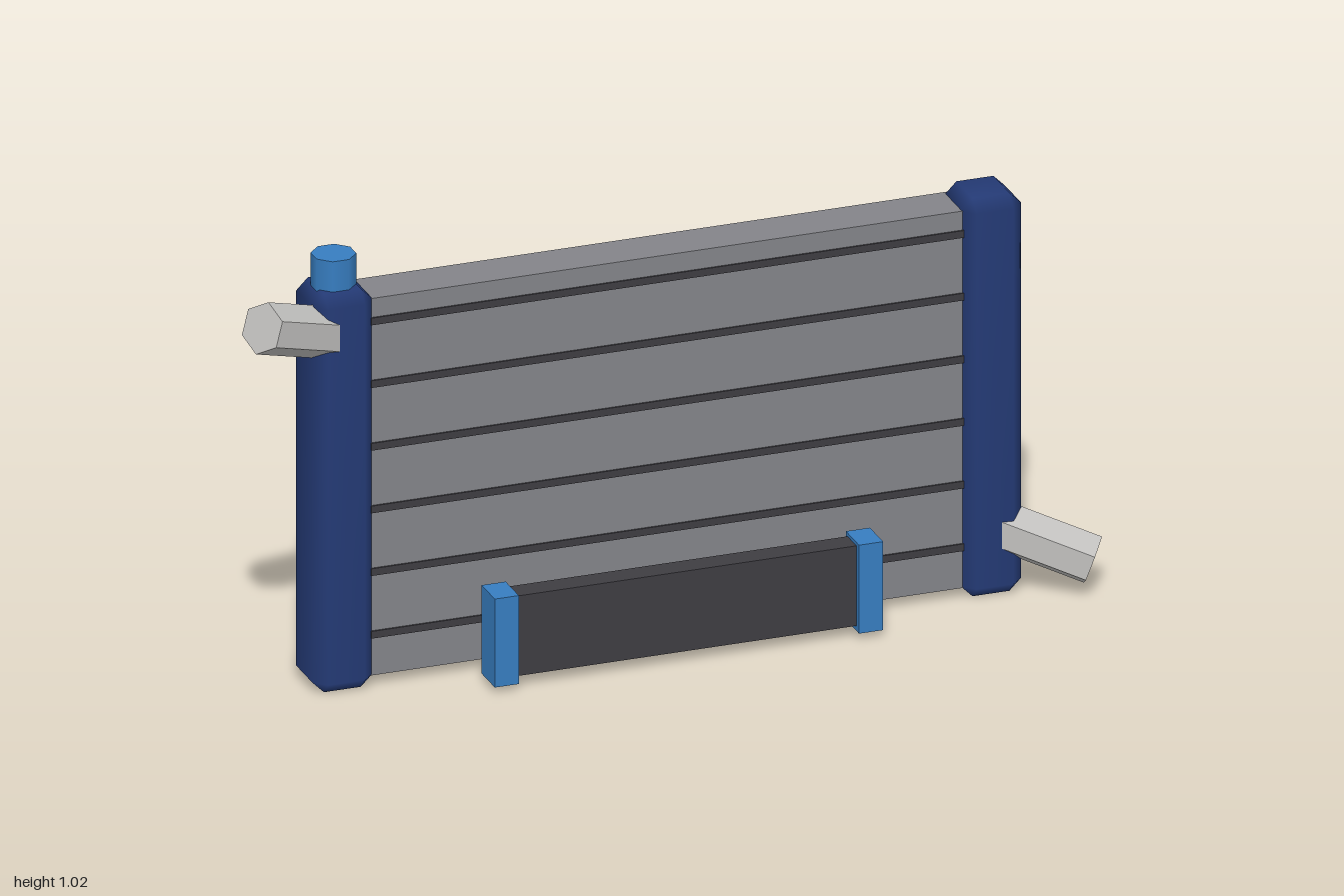
import * as THREE from 'three';
import { mergeVertices } from 'three/addons/utils/BufferGeometryUtils.js';
import { ConvexGeometry } from 'three/addons/geometries/ConvexGeometry.js';

function paint(name, color, flatShading = false) {
  const m = new THREE.MeshStandardMaterial({ color, flatShading });
  m.name = name;
  return m;
}

// Box with chamfered edges and smooth normals, centred on the origin
function chamferedBox(w, h, d, c) {
  const points = [];
  for (const sx of [-1, 1]) for (const sy of [-1, 1]) for (const sz of [-1, 1]) {
    for (let full = 0; full < 3; full++) {
      points.push(new THREE.Vector3(
        sx * (w / 2 - (full === 0 ? 0 : c)),
        sy * (h / 2 - (full === 1 ? 0 : c)),
        sz * (d / 2 - (full === 2 ? 0 : c))));
    }
  }
  const hull = new ConvexGeometry(points);
  hull.deleteAttribute('normal');
  const geometry = mergeVertices(hull, 1e-4);
  geometry.computeVertexNormals();
  return geometry;
}

export function createModel() {
  const model = new THREE.Group();
  model.name = 'radiator';

  const navy = paint('navy', 0x243a75);
  const blue = paint('blue', 0x377dc0);
  const grey = paint('core grey', 0x838489);
  const dark = paint('dark grey', 0x3e3d42);
  const metal = paint('pipe metal', 0xc0bfbd, true);

  function add(name, geometry, material, x, y, z) {
    const mesh = new THREE.Mesh(geometry, material);
    mesh.name = name;
    mesh.position.set(x, y, z);
    model.add(mesh);
    return mesh;
  }

  // Core with dark tube lines across its front
  add('core', new THREE.BoxGeometry(1.4, 0.895, 0.112), grey, 0, 0.472, -0.059);
  for (let i = 0; i < 6; i++) {
    add('coreLine', new THREE.BoxGeometry(1.38, 0.017, 0.006), dark, 0, 0.122 + i * 0.1488, -0.002);
  }

  // Side tanks
  const tank = chamferedBox(0.14, 0.945, 0.154, 0.027);
  add('leftTank', tank, navy, 0.755, 0.4725, -0.056);
  add('rightTank', tank, navy, -0.755, 0.4725, -0.056);

  // Filler cap
  const cap = add('fillerCap', new THREE.CylinderGeometry(0.05, 0.05, 0.1, 8), blue, -0.757, 0.967, -0.056);
  cap.rotation.y = Math.PI / 8;

  // Hose pipes: one low on the left, one high on the right
  function pipe(name, end, direction) {
    const length = 0.24;
    const dir = direction.normalize();
    const up = new THREE.Vector3(0, 1, 0).addScaledVector(dir, -dir.y).normalize();
    const side = new THREE.Vector3().crossVectors(dir, up);
    const centre = end.addScaledVector(dir, -length / 2);
    const mesh = add(name, new THREE.CylinderGeometry(0.059, 0.059, length, 6), metal, centre.x, centre.y, centre.z);
    mesh.quaternion.setFromRotationMatrix(new THREE.Matrix4().makeBasis(side, dir, up));
  }
  pipe('outletPipe', new THREE.Vector3(0.967, 0.076, 0.062), new THREE.Vector3(0.84, -0.34, 0.42));
  pipe('inletPipe', new THREE.Vector3(-0.967, 0.917, 0.062), new THREE.Vector3(-0.84, 0.34, 0.42));

  // Small cooler in front, with end caps
  add('coolerCore', new THREE.BoxGeometry(0.81, 0.19, 0.056), dark, 0, 0.122, 0.089);
  for (const side of [-1, 1]) {
    add('coolerEndCap', new THREE.BoxGeometry(0.056, 0.21, 0.082), blue, side * 0.424, 0.12, 0.092);
  }

  return model;
}
